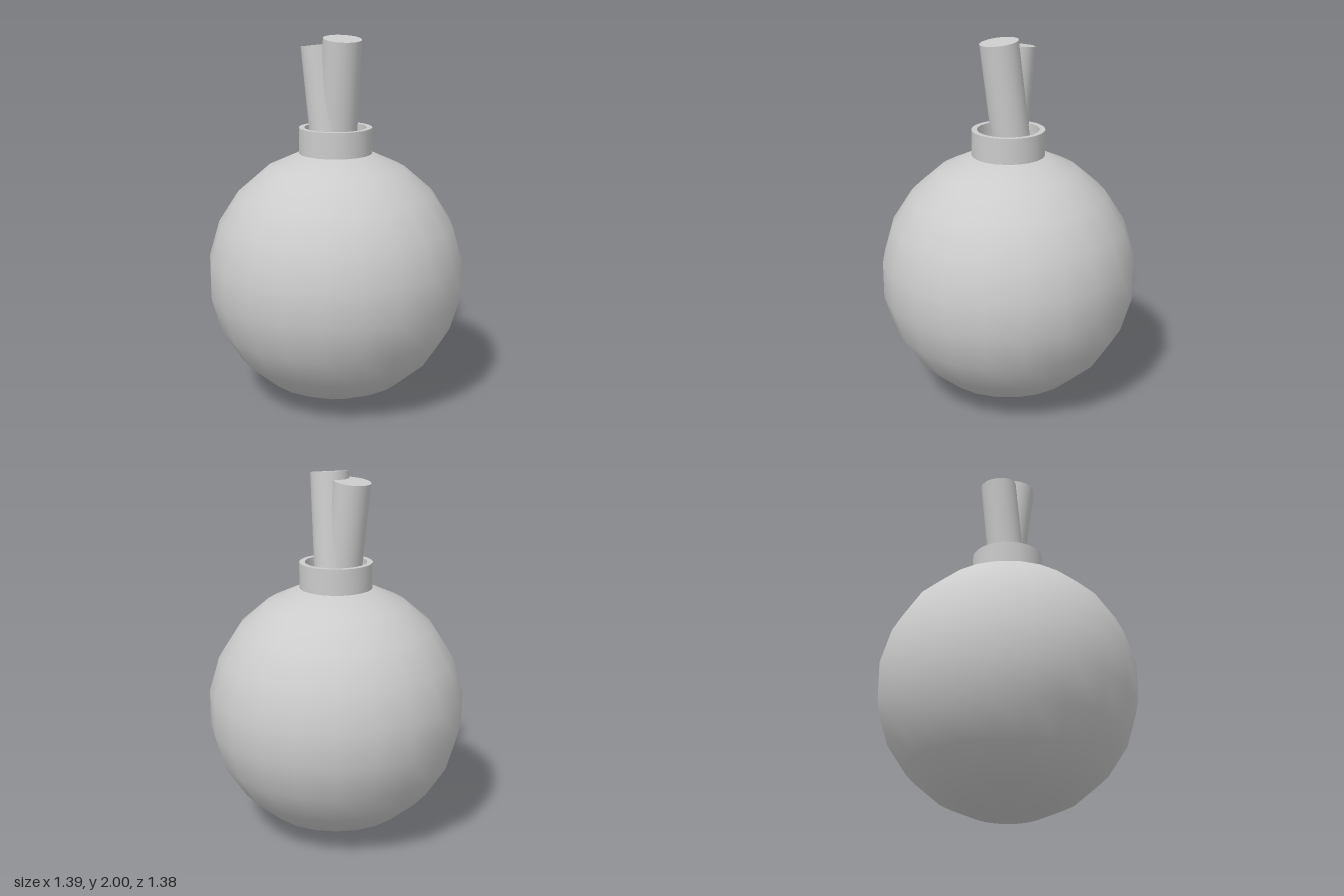
import * as THREE from 'three';

const grey = new THREE.MeshStandardMaterial({ color: 0xcccccc });

function add(group, name, geometry) {
  const mesh = new THREE.Mesh(geometry, grey);
  mesh.name = name;
  group.add(mesh);
  return mesh;
}

// Capped cylinder running between two points
function rod(group, name, from, to, radius) {
  const a = new THREE.Vector3(...from);
  const b = new THREE.Vector3(...to);
  const dir = b.clone().sub(a);
  const mesh = add(group, name, new THREE.CylinderGeometry(radius, radius, dir.length(), 32));
  mesh.position.copy(a).add(b).multiplyScalar(0.5);
  mesh.quaternion.setFromUnitVectors(new THREE.Vector3(0, 1, 0), dir.normalize());
  return mesh;
}

export function createModel() {
  const model = new THREE.Group();
  model.name = 'bomb';

  // Round body: 21 sides, 11 rings, one corner pointing back
  const body = add(model, 'body', new THREE.SphereGeometry(0.702, 21, 11));
  body.position.y = 0.702;
  body.rotation.y = -Math.PI / 2;

  // Collar: outer wall, rim, inner wall; doubled points keep the edges sharp
  const outer = 0.197, inner = 0.167, base = 1.375, top = 1.515, floor = 1.405;
  const walls = [
    ['collarOuterWall', [outer, base], [outer, top]],
    ['collarRim', [outer, top], [inner, top]],
    ['collarInnerWall', [inner, top], [inner, floor]],
    ['collarFloor', [inner, floor], [0, floor]],
  ];
  const collar = new THREE.Group();
  collar.name = 'collar';
  for (const [name, p, q] of walls) {
    add(collar, name, new THREE.LatheGeometry([new THREE.Vector2(...p), new THREE.Vector2(...q)], 40));
  }
  model.add(collar);

  // Two fuse strands leaning apart out of the collar
  const fuse = new THREE.Group();
  fuse.name = 'fuse';
  rod(fuse, 'fuseStrandLeft', [-0.01, 1.39, -0.022], [0.06, 1.988, 0.005], 0.103);
  rod(fuse, 'fuseStrandRight', [-0.018, 1.39, 0.025], [-0.09, 1.95, 0.036], 0.1);
  model.add(fuse);

  return model;
}
